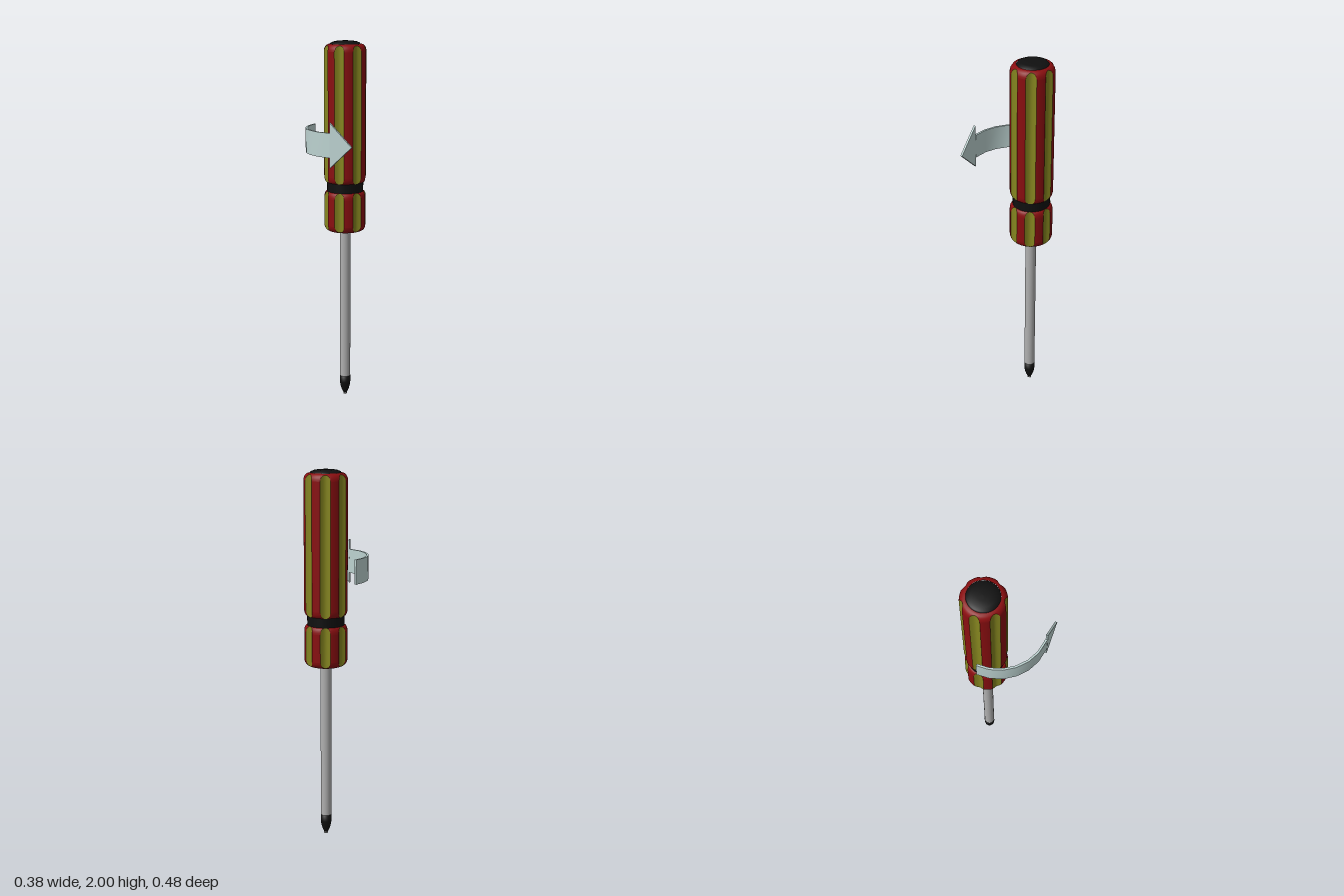
import * as THREE from 'three';
import { mergeGeometries } from 'three/addons/utils/BufferGeometryUtils.js';

const mat = (name, color, side = THREE.FrontSide) => {
  const m = new THREE.MeshStandardMaterial({ color, side });
  m.name = name;
  return m;
};

// A unit plane whose (u, v) points are moved onto a surface
function patch(nu, nv, fn) {
  const g = new THREE.PlaneGeometry(1, 1, nu, nv);
  const p = g.attributes.position;
  for (let i = 0; i < p.count; i++) p.setXYZ(i, ...fn(p.getX(i) + 0.5, p.getY(i) + 0.5));
  g.computeVertexNormals();
  return g;
}

const R = 0.115;          // handle radius at the ridges
const FLUTE_R = 0.1005;   // radius at the bottom of a flute
const FLUTES = 7;
const HALF = 0.24;        // half angle of one flute
const STEP = (Math.PI * 2) / FLUTES;

// One fluted section; low/high are the rounded ends { r, y, shoulder }
function flutedSection(low, high) {
  const red = [], yellow = [];
  const endY = (end, r) => {
    const s = Math.min(1, (r - end.r) / (R - end.r));
    return end.shoulder + (end.y - end.shoulder) * Math.sqrt(1 - s * s);
  };
  const at = (a, r, y) => [Math.sin(a) * r, y, Math.cos(a) * r];
  for (let i = 0; i < FLUTES; i++) {
    for (const isFlute of [true, false]) {
      const mid = i * STEP + (isFlute ? 0 : STEP / 2);
      const half = isFlute ? HALF : STEP / 2 - HALF;
      const angle = (u) => mid + (u * 2 - 1) * half;
      const radius = (u) => (isFlute ? FLUTE_R + (R - FLUTE_R) * (u * 2 - 1) ** 2 : R);
      const n = isFlute ? 10 : 6;
      const wall = patch(n, 1, (u, v) => {
        const r = radius(u);
        return at(angle(u), r, v < 0.5 ? endY(low, r) : endY(high, r));
      });
      (isFlute ? yellow : red).push(wall);
      red.push(patch(n, 6, (u, v) => {
        const r = low.r + (radius(u) - low.r) * Math.sin(v * Math.PI / 2);
        return at(angle(u), r, endY(low, r));
      }));
      red.push(patch(n, 6, (u, v) => {
        const r = high.r + (radius(u) - high.r) * Math.cos(v * Math.PI / 2);
        return at(angle(u), r, endY(high, r));
      }));
    }
  }
  return { red: mergeGeometries(red), yellow: mergeGeometries(yellow) };
}

export function createModel() {
  const model = new THREE.Group();
  model.name = 'screwdriverWithTurnArrow';
  const red = mat('handleRed', 0x8a0e10);
  const olive = mat('fluteYellow', 0x85851f);
  const black = mat('black', 0x101010);
  const steel = mat('steel', 0xb0b0b0);
  const pale = mat('arrowPaleBlue', 0xbcd2d0);

  const add = (parent, name, geometry, material, x = 0, y = 0, z = 0) => {
    const m = new THREE.Mesh(geometry, material);
    m.name = name;
    m.position.set(x, y, z);
    parent.add(m);
    return m;
  };
  const lathe = (pts) => new THREE.LatheGeometry(pts.map(([r, y]) => new THREE.Vector2(r, y)), 40);

  const driver = new THREE.Group();
  driver.name = 'screwdriver';
  driver.position.set(0.073, 0, -0.087);
  model.add(driver);

  // Handle: long grip above the neck, short collar below
  const grip = flutedSection({ r: 0.098, y: 1.235, shoulder: 1.27 }, { r: 0.083, y: 1.983, shoulder: 1.945 });
  const collar = flutedSection({ r: 0.083, y: 0.963, shoulder: 1.0 }, { r: 0.098, y: 1.185, shoulder: 1.15 });
  add(driver, 'grip', grip.red, red);
  add(driver, 'gripFlutes', grip.yellow, olive);
  add(driver, 'collar', collar.red, red);
  add(driver, 'collarFlutes', collar.yellow, olive);
  const base = new THREE.CircleGeometry(0.083, 40).rotateX(Math.PI / 2);
  add(driver, 'collarBase', base, red, 0, 0.963, 0);
  add(driver, 'neckRing', new THREE.CylinderGeometry(0.099, 0.099, 0.052, 40), black, 0, 1.21, 0);
  add(driver, 'endCap', lathe([[0.083, 1.982], [0.078, 1.989], [0.06, 1.996], [0.03, 1.9995], [0, 2]]), black);

  // Shaft and cross-point tip
  add(driver, 'shaft', new THREE.CylinderGeometry(0.029, 0.029, 0.86, 32), steel, 0, 0.54, 0);
  add(driver, 'tip', lathe([[0, 0.012], [0.012, 0.012], [0.02, 0.03], [0.027, 0.055], [0.0295, 0.075], [0.0295, 0.112], [0, 0.112]]), black);
  for (const turn of [0, Math.PI / 2]) {
    add(driver, 'tipBlade', new THREE.BoxGeometry(0.022, 0.02, 0.006), steel, 0, 0.01, 0).rotation.y = turn;
  }

  // Curved turn arrow: a flat strip bent round the handle
  const arrow = new THREE.Group();
  arrow.name = 'turnArrow';
  arrow.position.y = 1.48;
  model.add(arrow);
  const angles = [67.5, 52.5, 37.5, 22.5, 7.5, -7.5, -25];
  const band = new THREE.BoxGeometry(6, 0.13, 0.011, 6, 1, 1);
  const p = band.attributes.position;
  for (let i = 0; i < p.count; i++) {
    const a = THREE.MathUtils.degToRad(angles[Math.round(p.getX(i) + 3)]);
    const r = 0.2576 + p.getZ(i);
    p.setXYZ(i, 0.071 - r * Math.cos(a), p.getY(i), 0.003 - r * Math.sin(a));
  }
  band.computeVertexNormals();
  add(arrow, 'arrowBand', band, pale);

  const head = new THREE.Shape([[0, -0.12], [0.132, 0], [0, 0.12]].map(([x, y]) => new THREE.Vector2(x, y)));
  const headGeometry = new THREE.ExtrudeGeometry(head, { depth: 0.011, bevelEnabled: false });
  headGeometry.translate(0, 0, -0.0055);
  add(arrow, 'arrowHead', headGeometry, pale, -0.163, 0, 0.113).rotation.y = -Math.atan2(0.12, 0.055);

  return model;
}
